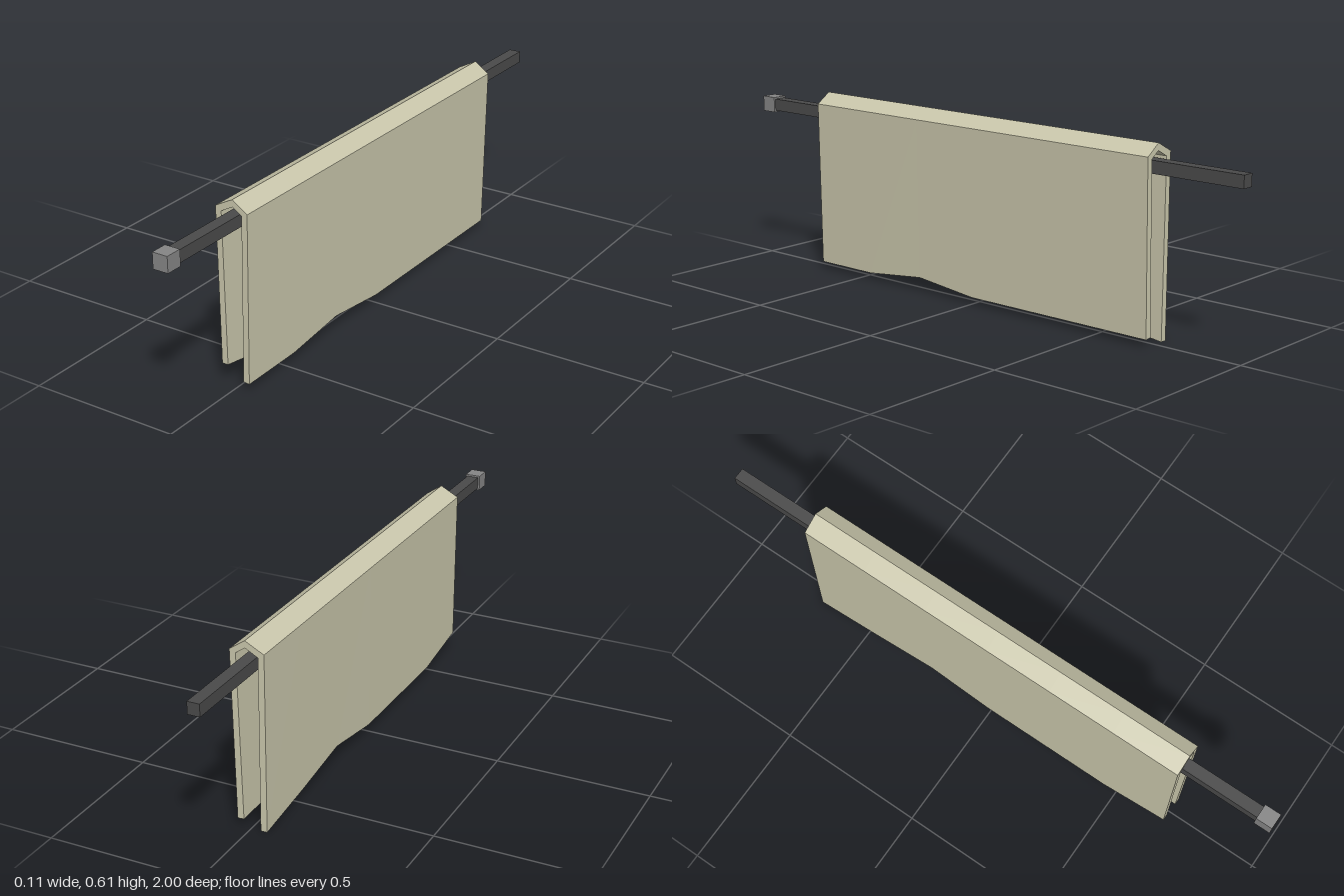
import * as THREE from 'three';

const mat = (color) => new THREE.MeshStandardMaterial({ color, flatShading: true });

// Folded cloth section, counter-clockwise seen from +z; rl / ll = lift of the two hems
const section = (rl, ll) => [
  [0.045, 0.024 + rl], [0.055, 0.577], [0.004, 0.612], [-0.057, 0.58], [-0.053, 0.028 + ll],
  [-0.032, 0.028 + ll], [-0.037, 0.567], [0.004, 0.589], [0.035, 0.568], [0.024, 0.026 + rl],
];

function clothGeometry() {
  // Hem lift at evenly spaced stations, front to back
  const leftLift = [0, 0, 0.025, 0, 0, 0, 0];
  const rightLift = [0.039, 0, 0, 0, 0.034, 0, -0.028];
  const n = leftLift.length;
  const rings = leftLift.map((l, k) => {
    const z = 0.685 - (1.382 * k) / (n - 1);
    return section(l, rightLift[k]).map(([x, y]) => [x, y, z]);
  });
  const pos = [];
  const quad = (a, b, c, d) => pos.push(...a, ...b, ...c, ...a, ...c, ...d);
  // Skin between neighbouring sections
  for (let k = 0; k < n - 1; k++) {
    for (let i = 0; i < 10; i++) {
      const j = (i + 1) % 10;
      quad(rings[k][i], rings[k + 1][i], rings[k + 1][j], rings[k][j]);
    }
  }
  // End faces, as a strip between outer and inner outline
  const f = rings[0], b = rings[n - 1];
  for (let i = 0; i < 4; i++) {
    quad(f[i], f[i + 1], f[8 - i], f[9 - i]);
    quad(b[9 - i], b[8 - i], b[i + 1], b[i]);
  }
  const geo = new THREE.BufferGeometry();
  geo.setAttribute('position', new THREE.Float32BufferAttribute(pos, 3));
  geo.computeVertexNormals();
  return geo;
}

export function createModel() {
  const group = new THREE.Group();
  const add = (name, geo, color, x = 0, y = 0, z = 0) => {
    const mesh = new THREE.Mesh(geo, mat(color));
    mesh.name = name;
    mesh.position.set(x, y, z);
    group.add(mesh);
  };

  // Cloth draped over the rod
  add('hangingCloth', clothGeometry(), 0xc9c6ab);

  // Square rod with a slightly wider end block at the front
  add('rod', new THREE.BoxGeometry(0.04, 0.04, 1.95), 0x4a4a4a, -0.006, 0.54, -0.025);
  add('rodEndCap', new THREE.BoxGeometry(0.052, 0.052, 0.055), 0x858585, -0.006, 0.54, 0.9725);
  return group;
}
